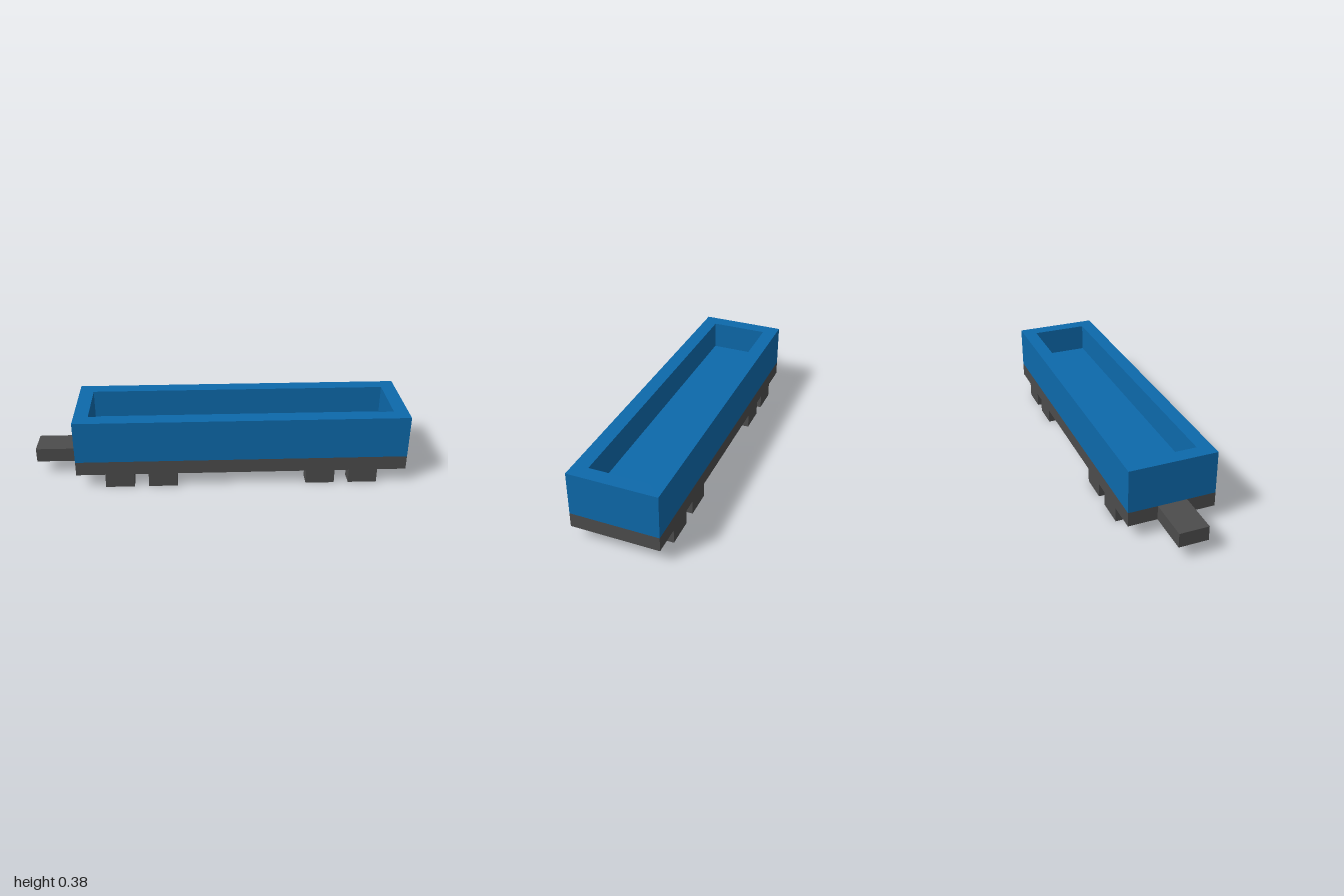
import * as THREE from 'three';

const U = 1 / 13; // the whole wagon sits on a grid of 26 units along its length

export function createModel() {
  const blue = new THREE.MeshStandardMaterial({ color: 0x0d69ab });
  blue.name = 'blue';
  const grey = new THREE.MeshStandardMaterial({ color: 0x4c4c4c });
  grey.name = 'dark grey';

  const model = new THREE.Group();
  model.name = 'wagon';

  // Box from its limits in grid units
  function box(name, material, x0, x1, y0, y1, z0, z1) {
    const geometry = new THREE.BoxGeometry((x1 - x0) * U, (y1 - y0) * U, (z1 - z0) * U);
    const mesh = new THREE.Mesh(geometry, material);
    mesh.name = name;
    mesh.position.set((x0 + x1) / 2 * U, (y0 + y1) / 2 * U, (z0 + z1) / 2 * U);
    model.add(mesh);
  }

  // Rectangle outline in grid units
  function rectangle(target, x0, x1, halfWidth) {
    const corners = [[x0, -halfWidth], [x1, -halfWidth], [x1, halfWidth], [x0, halfWidth]];
    target.setFromPoints(corners.map(([x, y]) => new THREE.Vector2(x * U, y * U)));
    target.closePath();
    return target;
  }

  // Chassis and coupling bar
  box('chassis', grey, -10, 13, 1, 2, -3, 3);
  box('coupling', grey, -13, -10, 1, 2, -1, 1);

  // Square wheel blocks, in pairs on both sides
  for (const x of [-8, -5, 6, 9]) {
    for (const z of [-3, 2]) box('wheelBlock', grey, x, x + 2, 0, 1, z, z + 1);
  }

  // Open tub: walls around a rectangular hole, with a raised floor inside
  const outline = rectangle(new THREE.Shape(), -10, 13, 3);
  outline.holes.push(rectangle(new THREE.Path(), -9, 12, 2));
  const wallGeometry = new THREE.ExtrudeGeometry(outline, { depth: 3 * U, bevelEnabled: false });
  wallGeometry.rotateX(-Math.PI / 2);
  const walls = new THREE.Mesh(wallGeometry, blue);
  walls.name = 'tubWalls';
  walls.position.y = 2 * U;
  model.add(walls);
  box('tubFloor', blue, -9, 12, 2, 3, -2, 2);

  return model;
}
